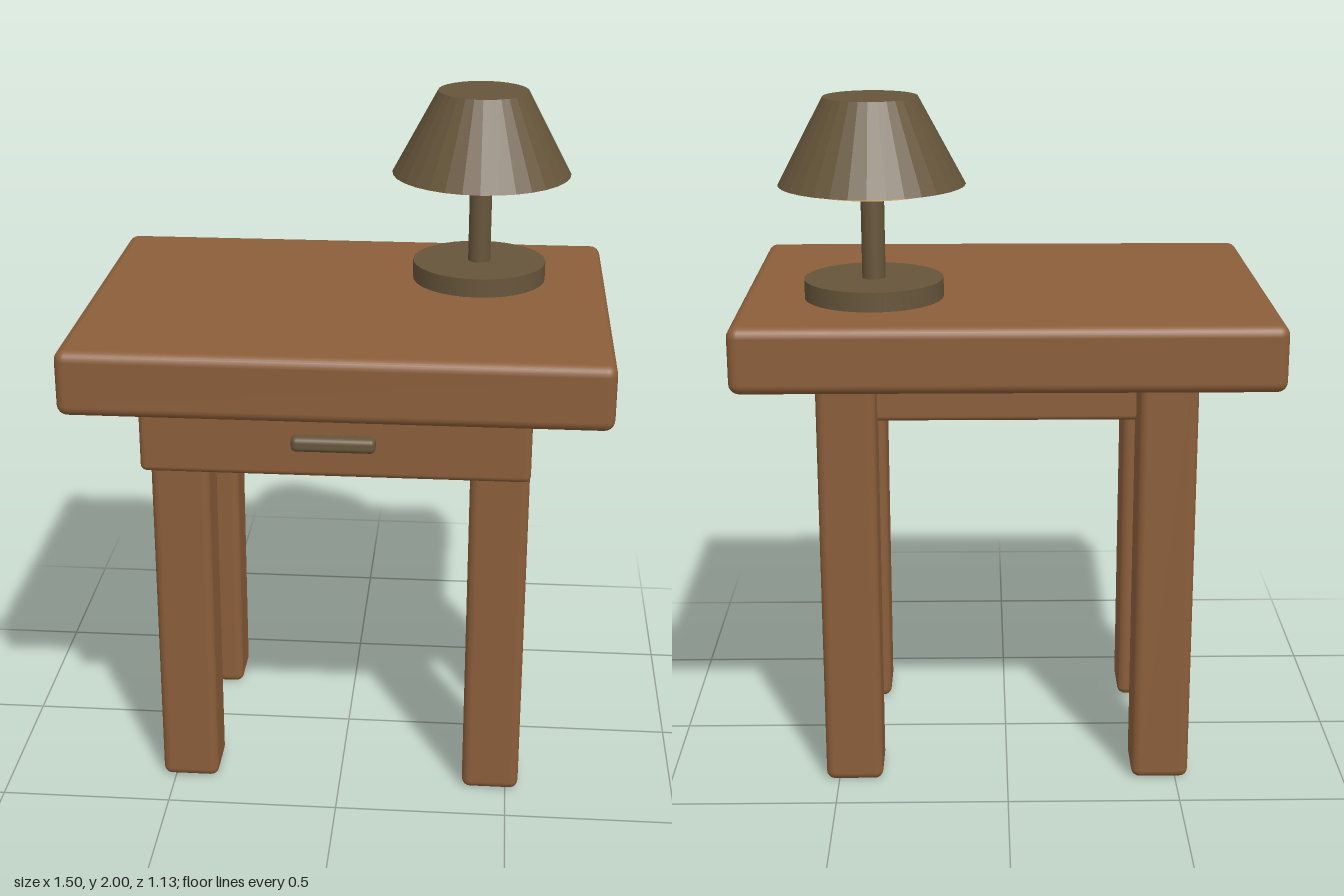
import * as THREE from 'three';
import { RoundedBoxGeometry } from 'three/addons/geometries/RoundedBoxGeometry.js';

const mat = (name, color, flat = false) => {
  const m = new THREE.MeshStandardMaterial({ color, flatShading: flat });
  m.name = name;
  return m;
};

export function createModel() {
  const wood = mat('wood', 0x8b5e3a);
  const bronze = mat('bronze', 0x66553a);
  const glow = mat('warm glow', 0xdcb868);
  const model = new THREE.Group();
  model.name = 'bedsideTable';

  const add = (parent, name, geometry, material, x, y, z) => {
    const mesh = new THREE.Mesh(geometry, material);
    mesh.name = name;
    mesh.position.set(x, y, z);
    parent.add(mesh);
    return mesh;
  };

  // Rounded box given by its lower and upper limits on each axis
  const block = (name, material, [x0, x1], [y0, y1], [z0, z1], radius) =>
    add(model, name, new RoundedBoxGeometry(x1 - x0, y1 - y0, z1 - z0, 3, radius),
      material, (x0 + x1) / 2, (y0 + y1) / 2, (z0 + z1) / 2);

  // Table top
  block('tableTop', wood, [-0.752, 0.752], [1.25, 1.437], [-0.565, 0.565], 0.03);

  // Four legs
  for (const sx of [-1, 1]) {
    for (const sz of [-1, 1]) {
      add(model, sz > 0 ? 'frontLeg' : 'backLeg',
        new RoundedBoxGeometry(0.168, 1.25, 0.168, 3, 0.025), wood, sx * 0.454, 0.625, sz * 0.284);
    }
  }

  // Drawer, its handle and the rail between the back legs
  block('drawer', wood, [-0.536, 0.536], [1.078, 1.27], [0.29, 0.52], 0.018);
  block('drawerHandle', bronze, [-0.115, 0.115], [1.164, 1.206], [0.512, 0.556], 0.015);
  block('backRail', wood, [-0.45, 0.45], [1.085, 1.27], [-0.26, -0.205], 0.015);

  // Lamp
  const lamp = new THREE.Group();
  lamp.name = 'lamp';
  lamp.position.set(0.375, 0, -0.19);
  model.add(lamp);
  const turned = (name, material, rTop, rBottom, y0, y1, sides = 32) =>
    add(lamp, name, new THREE.CylinderGeometry(rTop, rBottom, y1 - y0, sides), material, 0, (y0 + y1) / 2, 0);

  turned('lampBase', bronze, 0.197, 0.197, 1.43, 1.492);
  turned('lampPost', bronze, 0.033, 0.033, 1.48, 1.76, 24);
  turned('lampLight', glow, 0.19, 0.19, 1.742, 1.775);
  const shadeMaterial = bronze.clone();
  shadeMaterial.name = 'faceted bronze';
  shadeMaterial.flatShading = true;
  turned('lampShade', shadeMaterial, 0.132, 0.262, 1.758, 2.0, 32);

  return model;
}
